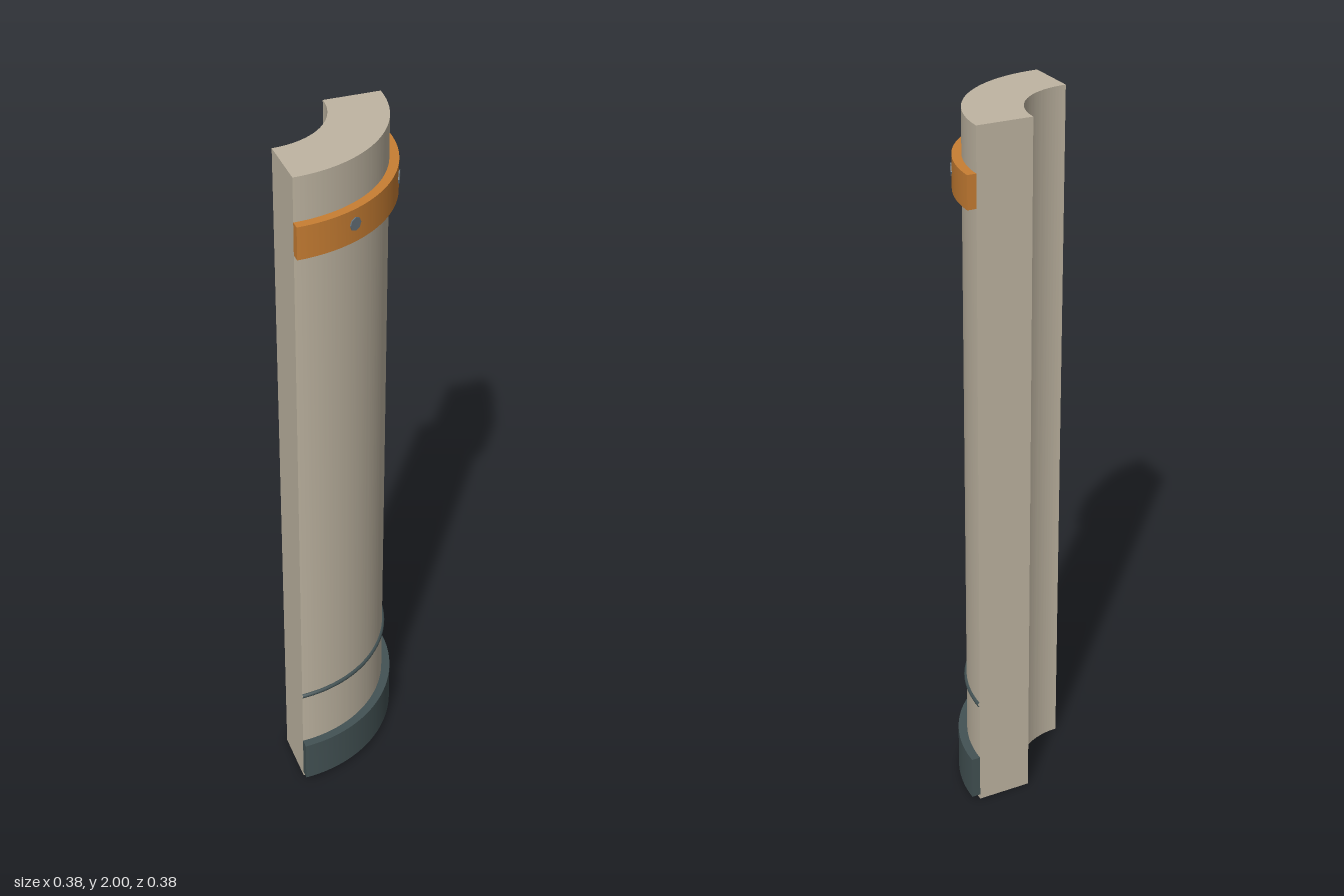
import * as THREE from 'three';
import { toCreasedNormals } from 'three/addons/utils/BufferGeometryUtils.js';

// Quarter-ring segment of a hollow column, curved about the axis at (AXIS, AXIS).
const AXIS = -0.19;
const INNER = 0.2;
const OUTER = 0.355;
const BAND = 0.38;

const paint = (color) => new THREE.MeshStandardMaterial({ color });

// Solid quarter ring between two radii and two heights
function quarterRing(rIn, rOut, y0, y1) {
  const shape = new THREE.Shape();
  shape.moveTo(rIn, 0);
  shape.lineTo(rOut, 0);
  shape.absarc(0, 0, rOut, 0, Math.PI / 2, false);
  shape.lineTo(0, rIn);
  shape.absarc(0, 0, rIn, Math.PI / 2, 0, true);
  const geo = new THREE.ExtrudeGeometry(shape, { depth: y1 - y0, bevelEnabled: false, curveSegments: 48 });
  geo.rotateX(Math.PI / 2).translate(0, y1, 0);
  return toCreasedNormals(geo, 0.5);
}

export function createModel() {
  const group = new THREE.Group();
  group.name = 'columnSegment';

  const add = (name, geometry, material) => {
    const mesh = new THREE.Mesh(geometry, material);
    mesh.name = name;
    mesh.position.set(AXIS, 0, AXIS);
    group.add(mesh);
    return mesh;
  };

  const stone = paint(0xbfb5a2);
  const dark = paint(0x435254);
  const orange = paint(0xc87e33);
  const steel = paint(0x66727a);

  // Main wall, foot band and upper collar
  add('wall', quarterRing(INNER, OUTER, 0, 2), stone);
  add('footBand', quarterRing(OUTER, BAND, 0.015, 0.145), dark);
  add('collar', quarterRing(OUTER, BAND, 1.79, 1.88), orange);

  // Thin bead round the outer face
  const bead = new THREE.TorusGeometry(OUTER, 0.007, 8, 48, Math.PI / 2);
  bead.rotateX(Math.PI / 2).translate(0, 0.326, 0);
  const beadPaint = dark.clone();
  beadPaint.side = THREE.DoubleSide;
  add('bead', bead, beadPaint);

  // Bolt heads on the collar, mirrored about the diagonal
  for (const deg of [25, 65]) {
    const bolt = new THREE.CylinderGeometry(0.018, 0.018, 0.012, 8);
    bolt.rotateZ(-Math.PI / 2).translate(0.377, 1.84, 0);
    bolt.rotateY(-THREE.MathUtils.degToRad(deg));
    add('bolt', toCreasedNormals(bolt, 0.5), steel);
  }

  return group;
}
